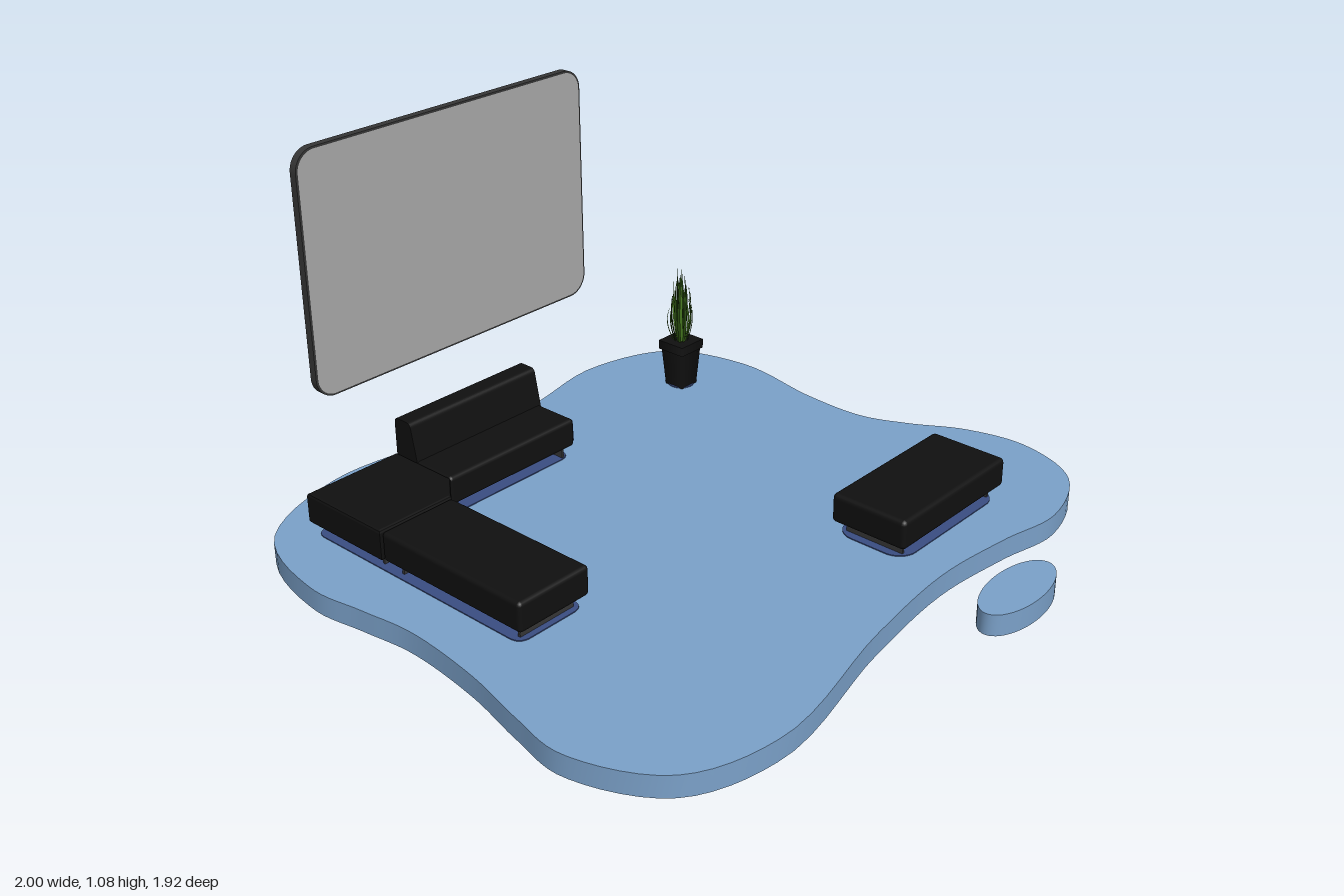
import * as THREE from 'three';
import { RoundedBoxGeometry } from 'three/addons/geometries/RoundedBoxGeometry.js';
import { mergeGeometries } from 'three/addons/utils/BufferGeometryUtils.js';

const mat = (name, color, side = THREE.FrontSide) => {
  const m = new THREE.MeshStandardMaterial({ color, side });
  m.name = name;
  return m;
};

// Rounded rectangle centred on (cx, cy)
function roundedRect(cx, cy, w, h, r) {
  const s = new THREE.Shape(), x = w / 2 - r, y = h / 2 - r;
  s.absarc(cx + x, cy + y, r, 0, Math.PI / 2);
  s.absarc(cx - x, cy + y, r, Math.PI / 2, Math.PI);
  s.absarc(cx - x, cy - y, r, Math.PI, Math.PI * 1.5);
  s.absarc(cx + x, cy - y, r, Math.PI * 1.5, Math.PI * 2);
  s.closePath();
  return s;
}

// Horizontal slab from a plan drawn in (x, -z)
function slab(shape, y0, y1, bevel = 0) {
  const g = new THREE.ExtrudeGeometry(shape, {
    depth: y1 - y0 - 2 * bevel, bevelEnabled: bevel > 0, bevelSize: bevel,
    bevelThickness: bevel, bevelOffset: -bevel, bevelSegments: 2, curveSegments: 12,
  });
  return g.rotateX(-Math.PI / 2).translate(0, y0 + bevel, 0);
}

// Vertical wall under a closed outline of Vector2 (x, -z)
function wall(outline, y0, y1) {
  const pos = [], index = [];
  outline.forEach((p, i) => {
    pos.push(p.x, y0, -p.y, p.x, y1, -p.y);
    const a = 2 * i, b = 2 * ((i + 1) % outline.length);
    index.push(a, b, b + 1, a, b + 1, a + 1);
  });
  const g = new THREE.BufferGeometry();
  g.setAttribute('position', new THREE.Float32BufferAttribute(pos, 3));
  g.setIndex(index);
  g.computeVertexNormals();
  return g;
}

// Pointed leaf: a folded ribbon that bulges outward, then leans to its tip
function leaf(height, width, bulge, lean) {
  const pos = [], index = [], n = 8;
  for (let i = 0; i <= n; i++) {
    const t = i / n, w = width * (0.45 + 1.1 * t) * Math.pow(1 - t, 0.7);
    const out = bulge * Math.sin(t * Math.PI * 0.8) + lean * t * t;
    pos.push(-w, height * t, out, 0, height * t, out + w * 0.4, w, height * t, out);
    if (i < n) for (const k of [0, 1]) {
      const a = 3 * i + k;
      index.push(a, a + 1, a + 4, a, a + 4, a + 3);
    }
  }
  const g = new THREE.BufferGeometry();
  g.setAttribute('position', new THREE.Float32BufferAttribute(pos, 3));
  g.setIndex(index);
  g.computeVertexNormals();
  return g;
}

export function createModel() {
  const root = new THREE.Group();
  const blue = mat('floorBlue', 0x7ba1c9, THREE.DoubleSide);
  const navy = mat('matNavy', 0x3a4d82, THREE.DoubleSide);
  const black = mat('upholsteryBlack', 0x101010);
  const charcoal = mat('frameCharcoal', 0x363636);
  const grey = mat('screenGrey', 0xa8a8a8);
  const greens = [mat('leafDark', 0x294d10, THREE.DoubleSide), mat('leafLight', 0x47791f, THREE.DoubleSide)];
  const add = (name, geometry, material, parent = root) => {
    const m = new THREE.Mesh(geometry, material);
    m.name = name;
    parent.add(m);
    return m;
  };
  const group = (name) => {
    const g = new THREE.Group();
    g.name = name;
    root.add(g);
    return g;
  };
  // Box given by its extents
  const block = (name, x0, x1, y0, y1, z0, z1, material, parent, r = 0) => {
    const w = x1 - x0, h = y1 - y0, d = z1 - z0;
    const g = r ? new RoundedBoxGeometry(w, h, d, 2, r) : new THREE.BoxGeometry(w, h, d);
    return add(name, g.translate((x0 + x1) / 2, (y0 + y1) / 2, (z0 + z1) / 2), material, parent);
  };
  const TOP = 0.065;

  // Free-form floor, open underneath
  const plan = [
    [-0.945, -0.51], [-0.85, -0.8], [-0.53, -0.935], [-0.18, -0.9], [0.16, -0.85], [0.51, -0.9],
    [0.78, -0.8], [0.87, -0.54], [0.825, -0.23], [0.825, -0.02], [0.88, 0.12], [0.965, 0.28],
    [0.995, 0.47], [0.91, 0.67], [0.69, 0.758], [0.48, 0.725], [0.22, 0.7], [-0.13, 0.735],
    [-0.61, 0.82], [-0.88, 0.73], [-1, 0.48], [-0.975, 0.3], [-0.93, 0.1], [-0.905, -0.16], [-0.925, -0.33],
  ].reverse().map(([x, z]) => new THREE.Vector3(x, -z, 0));
  const floorLine = new THREE.CatmullRomCurve3(plan, true).getPoints(160).slice(0, -1)
    .map((p) => new THREE.Vector2(p.x, p.y));
  const stoneLine = new THREE.EllipseCurve(0.297, -0.882, 0.163, 0.074, 0, Math.PI * 2, false, 0.04)
    .getPoints(48).slice(0, -1);
  for (const [name, line] of [['floor', floorLine], ['steppingStone', stoneLine]]) {
    const g = group(name);
    add(name + 'Top', new THREE.ShapeGeometry(new THREE.Shape(line)).rotateX(-Math.PI / 2).translate(0, TOP, 0), blue, g);
    add(name + 'Wall', wall(line, 0, TOP), blue, g);
  }

  // Dark mats set into the floor beneath the furniture
  const sofaMat = new THREE.Shape();
  sofaMat.moveTo(-0.72, 0.73);
  sofaMat.lineTo(-0.01, 0.73);
  sofaMat.quadraticCurveTo(0.03, 0.73, 0.03, 0.69);
  sofaMat.lineTo(0.03, 0.56);
  sofaMat.quadraticCurveTo(0.03, 0.52, -0.01, 0.52);
  sofaMat.lineTo(-0.41, 0.52);
  sofaMat.quadraticCurveTo(-0.53, 0.52, -0.53, 0.4);
  sofaMat.lineTo(-0.53, -0.05);
  sofaMat.quadraticCurveTo(-0.53, -0.09, -0.57, -0.09);
  sofaMat.lineTo(-0.72, -0.09);
  sofaMat.quadraticCurveTo(-0.76, -0.09, -0.76, -0.05);
  sofaMat.lineTo(-0.76, 0.69);
  sofaMat.quadraticCurveTo(-0.76, 0.73, -0.72, 0.73);
  add('sofaMat', slab(sofaMat, 0.062, 0.068), navy);
  add('ottomanMat', slab(roundedRect(0.435, -0.463, 0.47, 0.235, 0.06), 0.062, 0.068), navy);
  add('plantMat', new THREE.CylinderGeometry(0.042, 0.042, 0.006, 24).translate(0.625, TOP, -0.605), navy);

  // Corner sofa: chaise, chamfered corner, seat with backrest
  const sofa = group('cornerSofa');
  block('chaiseSeat', -0.765, -0.517, 0.1, 0.19, -0.43, 0.1, black, sofa, 0.012);
  const corner = new THREE.Shape([
    [-0.77, 0.43], [-0.517, 0.43], [-0.45, 0.51], [-0.45, 0.74], [-0.77, 0.74],
  ].map((p) => new THREE.Vector2(...p)));
  add('cornerSeat', slab(corner, 0.1, 0.193, 0.008), black, sofa);
  block('mainSeat', -0.45, 0.04, 0.1, 0.19, -0.735, -0.51, black, sofa, 0.012);
  const back = new THREE.Shape();
  back.moveTo(0.645, 0.15);
  back.lineTo(0.74, 0.15);
  back.lineTo(0.74, 0.29);
  back.quadraticCurveTo(0.74, 0.305, 0.725, 0.305);
  back.lineTo(0.69, 0.305);
  back.quadraticCurveTo(0.675, 0.305, 0.672, 0.29);
  back.closePath();
  add('backrest', new THREE.ExtrudeGeometry(back, { depth: 0.488, bevelEnabled: false })
    .rotateY(Math.PI / 2).translate(-0.448, 0, 0), black, sofa);
  // Lining panel on the seat end
  const lining = new THREE.Shape([[0.515, 0.113], [0.66, 0.14], [0.6, 0.183], [0.518, 0.18]]
    .map((p) => new THREE.Vector2(...p)));
  add('endLining', new THREE.ShapeGeometry(lining).rotateY(Math.PI / 2).translate(0.0415, 0, 0), navy, sofa);

  // Ottoman
  const ottoman = group('ottoman');
  block('ottomanSeat', 0.192, 0.685, 0.1, 0.19, 0.34, 0.587, black, ottoman, 0.014);

  // Thin panel legs
  for (const x of [-0.49, -0.417, 0.003]) block('sofaLeg', x - 0.004, x + 0.004, TOP, 0.105, -0.72, -0.525, charcoal, sofa);
  for (const z of [0.067, -0.38, -0.46]) block('sofaLeg', -0.74, -0.55, TOP, 0.105, z - 0.004, z + 0.004, charcoal, sofa);
  for (const x of [0.23, 0.645]) block('ottomanLeg', x - 0.004, x + 0.004, TOP, 0.105, 0.37, 0.56, charcoal, ottoman);

  // Floating screen
  const screen = group('screen');
  add('screenCase', new THREE.ExtrudeGeometry(roundedRect(-0.02, 0.707, 1.086, 0.75, 0.065),
    { depth: 0.025, bevelEnabled: false }).translate(0, 0, -0.96), charcoal, screen);
  add('screenFace', new THREE.ShapeGeometry(roundedRect(-0.02, 0.707, 1.074, 0.738, 0.06))
    .translate(0, 0, -0.9335), grey, screen);

  // Potted plant
  const plant = group('plant');
  plant.position.set(0.625, 0, -0.605);
  const pot = (name, rTop, rBottom, y0, y1) => add(name,
    new THREE.CylinderGeometry(rTop * Math.SQRT2, rBottom * Math.SQRT2, y1 - y0, 4)
      .toNonIndexed().rotateY(Math.PI / 4).translate(0, (y0 + y1) / 2, 0), black, plant);
  pot('potFoot', 0.037, 0.035, TOP, 0.095);
  pot('potBody', 0.044, 0.037, 0.095, 0.19);
  pot('potRim', 0.05, 0.05, 0.19, 0.22);

  // Leaves in a golden-angle spiral, outer ones shorter
  const leaves = [[], []];
  for (let i = 0; i < 34; i++) {
    const k = i / 33, a = i * 2.4, r = 0.002 + 0.02 * k;
    const h = 0.25 - 0.11 * k + 0.02 * Math.sin(i * 5.3);
    leaves[i % 3 === 0 ? 1 : 0].push(leaf(h, 0.0075, 0.018 * k + 0.004, 0.006 * Math.sin(i * 1.7))
      .translate(0, 0.215, r).rotateY(a));
  }
  leaves.forEach((set, i) => add(i ? 'lightLeaves' : 'darkLeaves', mergeGeometries(set), greens[i], plant));
  return root;
}
